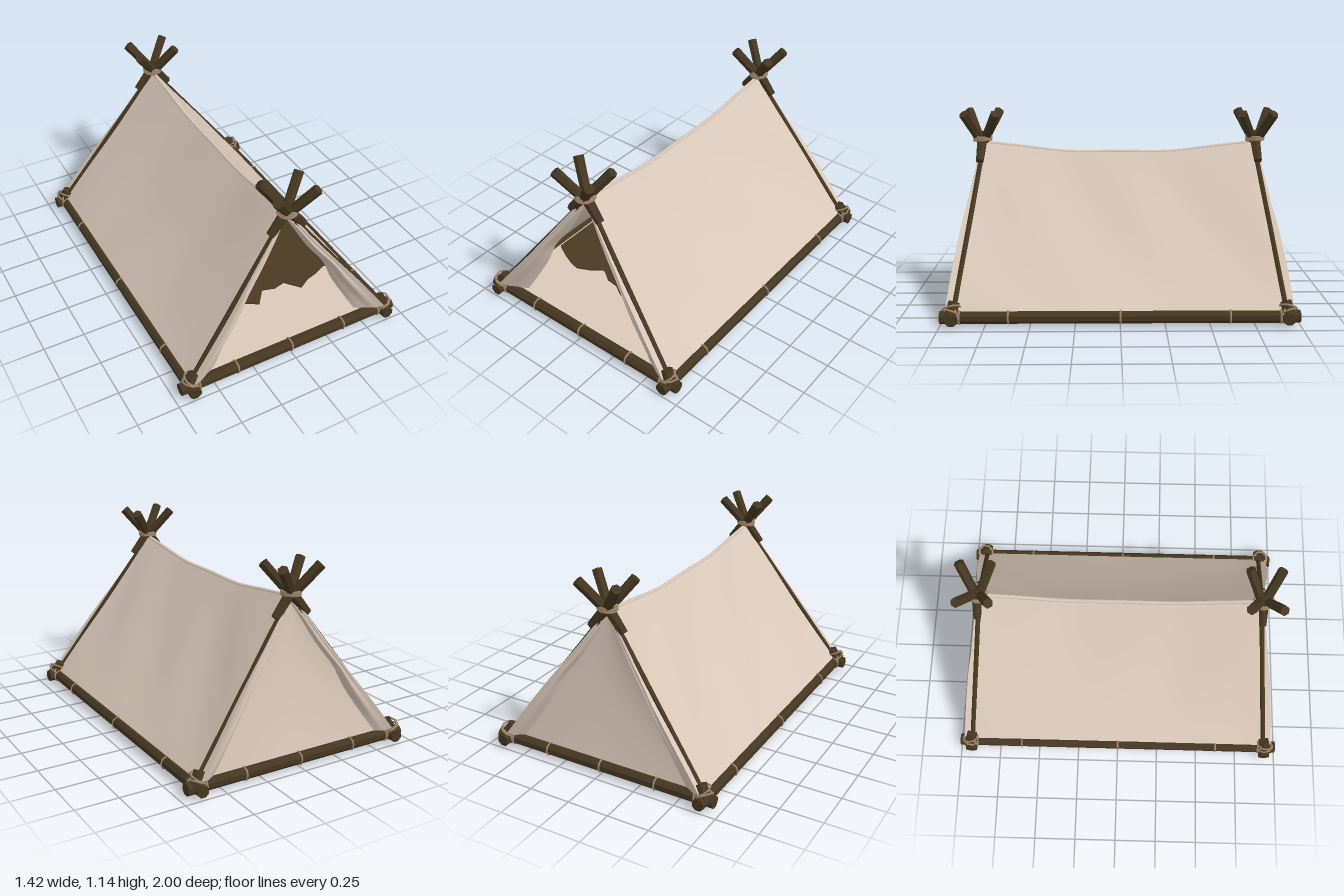
import * as THREE from 'three';

const mat = (name, color, side = THREE.FrontSide) => {
  const m = new THREE.MeshStandardMaterial({ color, side });
  m.name = name;
  return m;
};
const V = (x, y, z) => new THREE.Vector3(x, y, z);
const lerp = THREE.MathUtils.lerp;

export function createModel() {
  const canvas = mat('canvas', 0xdac9ba, THREE.DoubleSide);
  const wood = mat('dark wood', 0x453721);
  const rope = mat('rope', 0xa1866c);
  const hide = mat('brown hide', 0x4a3a24);
  const tent = new THREE.Group();
  tent.name = 'tent';

  const add = (name, geo, material, pos) => {
    const m = new THREE.Mesh(geo, material);
    m.name = name;
    if (pos) m.position.copy(pos);
    tent.add(m);
    return m;
  };
  // faceted log between two points
  const log = (name, a, b, r0, r1 = r0, sides = 6) => {
    const d = b.clone().sub(a);
    const g = new THREE.CylinderGeometry(r1, r0, d.length(), sides).toNonIndexed();
    g.rotateY(Math.PI / sides);
    g.computeVertexNormals();
    const m = add(name, g, wood, a.clone().add(b).multiplyScalar(0.5));
    m.quaternion.setFromUnitVectors(V(0, 1, 0), d.normalize());
    return m;
  };
  // rope loop around an axis
  const loop = (name, pos, axis, r, t = 0.006, sides = 8) => {
    const m = add(name, new THREE.TorusGeometry(r, t, 5, sides), rope, pos);
    m.quaternion.setFromUnitVectors(V(0, 0, 1), axis.clone().normalize());
    return m;
  };
  // cloth sheet from a rule f(u, v) with u, v in 0..1
  const sheet = (name, nu, nv, f) => {
    const g = new THREE.PlaneGeometry(1, 1, nu, nv);
    const p = g.attributes.position;
    for (let i = 0; i < p.count; i++) {
      const q = f(p.getX(i) + 0.5, 0.5 - p.getY(i));
      p.setXYZ(i, q.x, q.y, q.z);
    }
    g.computeVertexNormals();
    return add(name, g, canvas);
  };

  // half length of the cloth from ridge (v=0) to rail (v=1)
  const edge = [0.81, 0.845, 0.865, 0.885, 0.912, 0.93, 0.947, 0.96, 0.972];
  const zEdge = (v) => {
    const k = Math.min(v * 8, 7.999), i = Math.floor(k);
    return lerp(edge[i], edge[i + 1], k - i);
  };
  const ridgeY = (t) => 0.885 + 0.058 * THREE.MathUtils.clamp((Math.abs(t) - 0.38) / 0.62, 0, 1);
  const roofPoint = (s, t, v) => {
    const sag = 0.022 * Math.sin(Math.PI * v) * (1 - t * t);
    const ripple = 0.004 * Math.sin(t * 9 + v * 5 + s) * Math.sin(Math.PI * v);
    return V(s * (lerp(0.006, 0.645, v) - sag * 0.8 + ripple),
      lerp(ridgeY(t), 0.072, v) - sag * 0.6 + ripple, t * zEdge(v));
  };

  // roof panels and ridge
  for (const s of [-1, 1]) {
    sheet(s > 0 ? 'leftRoofPanel' : 'rightRoofPanel', 24, 16, (u, v) => roofPoint(s, 2 * u - 1, v));
  }
  const ridge = [-1, -0.7, -0.38, 0, 0.38, 0.7, 1].map((t) => V(0, ridgeY(t) - 0.006, t * 0.81));
  add('ridge', new THREE.TubeGeometry(new THREE.CatmullRomCurve3(ridge), 24, 0.012, 6), canvas);

  // gathered flaps framing both ends
  for (const e of [-1, 1]) for (const s of [-1, 1]) {
    sheet(e > 0 ? 'frontFlap' : 'backFlap', 10, 16, (w, v) => {
      const a = roofPoint(s, e, v);
      const pinch = 0.025 * Math.exp(-Math.pow((v - 0.48) / 0.12, 2));
      const inner = V(s * (0.47 * v + pinch), lerp(0.9, 0.074, v), e * lerp(0.815, 0.888, v * v));
      const fold = (0.03 * Math.sin(Math.PI * w) + 0.01 * Math.sin(Math.PI * 4 * w + v * 3) * Math.sin(Math.PI * w))
        * Math.sin(Math.PI * Math.min(1, v * 0.9 + 0.04));
      const p = a.lerp(inner, w);
      p.z += e * fold * 0.8;
      return p;
    });
  }

  // closed back wall
  sheet('backWall', 12, 12, (u, v) => {
    const t = 2 * u - 1;
    const sag = 0.025 * Math.sin(Math.PI * v) * (1 - t * t);
    return V(t * 0.6 * v, lerp(0.9, 0.07, v), -lerp(0.815, 0.925, v) + sag);
  });

  // ground cloth with a ragged hide on it
  add('groundCloth', new THREE.BoxGeometry(1.27, 0.02, 1.86), canvas, V(0, 0.05, 0));
  const rug = new THREE.Shape();
  rug.moveTo(-0.6, 0.7);
  rug.lineTo(0.6, 0.7);
  for (let i = 0; i <= 16; i++) {
    rug.lineTo(0.6 - i * 0.075, -0.53 + 0.04 * Math.sin(i * 1.3) + 0.025 * Math.sin(i * 2.9));
  }
  rug.closePath();
  const rugGeo = new THREE.ExtrudeGeometry(rug, { depth: 0.008, bevelEnabled: false });
  rugGeo.rotateX(-Math.PI / 2);
  add('hideRug', rugGeo, hide, V(0, 0.06, 0));

  // base rails with rope ties
  const railR = 0.036, railY = 0.043;
  for (const s of [-1, 1]) {
    log('sideRail', V(s * 0.645, railY, -1), V(s * 0.645, railY, 1), railR, railR, 8);
    log('endRail', V(-0.71, railY, s * 0.93), V(0.71, railY, s * 0.93), railR, railR, 8);
    for (const z of [-0.89, -0.61, 0, 0.62, 0.89]) {
      loop('sideRailTie', V(s * 0.645, railY, z), V(0, 0, 1), 0.037);
    }
    for (const x of [-0.6, -0.355, 0, 0.355, 0.6]) {
      loop('endRailTie', V(x, railY, s * 0.93), V(1, 0, 0), 0.037);
    }
  }

  // corner feet with lashings, and slim poles under the cloth
  for (const sx of [-1, 1]) for (const sz of [-1, 1]) {
    log('poleFoot', V(sx * 0.665, 0.03, sz * 0.945), V(sx * 0.622, 0.125, sz * 0.92), 0.042, 0.034);
    log('hiddenPole', V(sx * 0.62, 0.1, sz * 0.92), V(sx * 0.05, 0.87, sz * 0.82), 0.016);
    for (const k of [0, 1]) {
      loop('cornerLashing', V(sx * (0.652 - k * 0.012), 0.075 + k * 0.022, sz * (0.937 - k * 0.006)),
        V(-sx * 0.5, 0.9, -sz * (0.3 - k * 0.5)), 0.047);
    }
    loop('cornerCrossLashing', V(sx * 0.645, 0.05, sz * 0.93), V(sx, 0, sz), 0.05);
  }

  // crossed pole tops and their bindings at each end of the ridge
  for (const e of [-1, 1]) {
    const z = e * 0.82;
    for (const sx of [-1, 1]) for (const sz of [-1, 1]) {
      log('poleTop', V(0, 0.95, z + sz * 0.012), V(sx * 0.122, 1.118, z + sz * 0.092), 0.028, 0.03);
    }
    for (const sx of [-1, 1]) {
      log('poleNeck', V(sx * 0.105, 0.835, z + e * 0.008), V(-sx * 0.02, 0.985, z), 0.024, 0.034);
    }
    for (let i = 0; i < 3; i++) {
      const l = loop('apexBinding', V(0, 0.95 + i * 0.012, z), V(0.06 * (i - 1), 1, 0.05 * (1 - i)), 0.053, 0.007, 12);
      l.scale.set(1, 1, 1);
    }
  }
  return tent;
}
